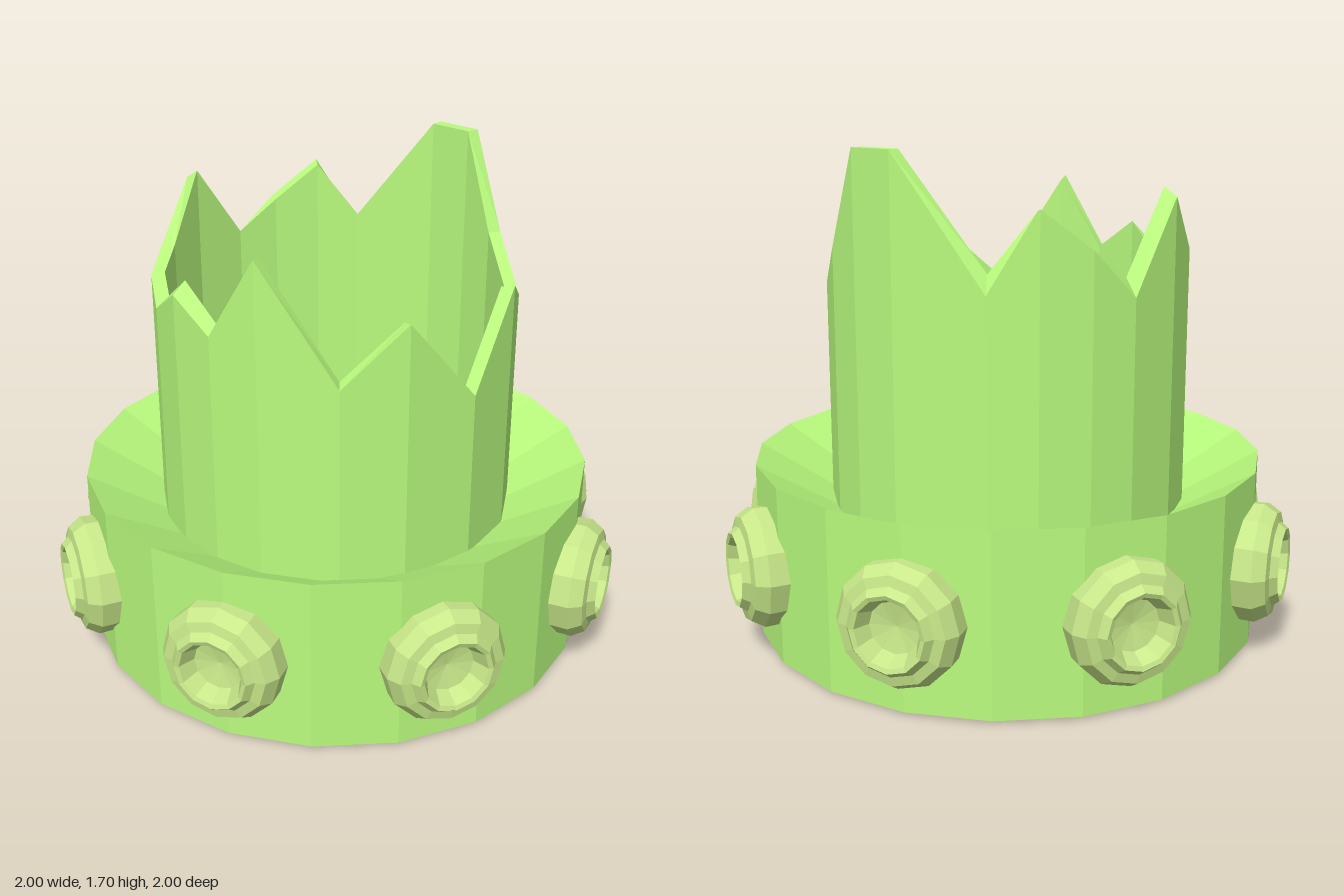
import * as THREE from 'three';

const RAD = Math.PI / 180;
const material = (color) => new THREE.MeshStandardMaterial({ color, flatShading: true });
const green = material(0xbafc7e);
const paleGreen = material(0xc8e88a);
const teal = material(0x88f8d8);

function part(name, geometry, mat) {
  const mesh = new THREE.Mesh(geometry, mat);
  mesh.name = name;
  return mesh;
}

function lathe(points, sides) {
  return new THREE.LatheGeometry(points.map(([r, y]) => new THREE.Vector2(r, y)), sides);
}

// Jagged rim of the tube: [angle from the front towards +x in degrees, outer height, inner height]
const RIM = [
  [0, 1.54, 1.53], [24, 1.14, 1.15], [44, 1.34, 1.33], [68, 1.04, 1.05], [90, 1.34, 1.33],
  [113, 1.22, 1.23], [135, 1.37, 1.37], [150, 1.7, 1.7], [166, 1.7, 1.7], [195, 1.27, 1.33],
  [210, 1.53, 1.52], [226, 1.4, 1.4], [241, 1.24, 1.3], [261, 1.54, 1.57], [279, 1.35, 1.35],
  [296, 1.3, 1.31], [313, 1.25, 1.28], [328, 1.35, 1.39], [344, 1.26, 1.28],
];

// Hollow tube: each rim angle carries a four-point wall section
function brokenTube() {
  const positions = [];
  const index = [];
  for (const [degrees, outer, inner] of RIM) {
    const s = Math.sin(degrees * RAD), c = Math.cos(degrees * RAD);
    const section = [[0.626, 0.36], [0.626, outer], [0.58, inner], [0.58, 0.36]];
    for (const [r, y] of section) positions.push(r * s, y, r * c);
  }
  for (let i = 0; i < RIM.length; i++) {
    const n = (i + 1) % RIM.length;
    for (let j = 0; j < 4; j++) {
      const k = (j + 1) % 4;
      const a = i * 4 + j, b = n * 4 + j, c = n * 4 + k, d = i * 4 + k;
      index.push(a, b, c, a, c, d);
    }
  }
  const geometry = new THREE.BufferGeometry();
  geometry.setAttribute('position', new THREE.Float32BufferAttribute(positions, 3));
  geometry.setIndex(index);
  geometry.computeVertexNormals();
  return geometry;
}

const polar = (r, a) => new THREE.Vector2(r * Math.cos(a), r * Math.sin(a));

// Teardrop slot: wide round end outside, narrow end trailing inwards
function teardrop(angle) {
  const wide = polar(0.475, angle);
  const tip = polar(0.385, angle - 18 * RAD);
  const axis = wide.clone().sub(tip).angle();
  const points = [];
  for (let i = 0; i <= 6; i++) {
    points.push(polar(0.065, axis + (-105 + i * 35) * RAD).add(wide));
  }
  for (let i = 0; i <= 2; i++) {
    points.push(polar(0.022, axis + (105 + i * 75) * RAD).add(tip));
  }
  return new THREE.Path(points);
}

function slottedDisc() {
  const ringPoints = (r, n) => Array.from({ length: n }, (_, i) => polar(r, (i / n) * Math.PI * 2));
  const shape = new THREE.Shape(ringPoints(0.63, 20));
  shape.holes.push(new THREE.Path(ringPoints(0.18, 10)));
  for (let k = 0; k < 12; k++) shape.holes.push(teardrop((90 + k * 30) * RAD));
  const geometry = new THREE.ExtrudeGeometry(shape, { depth: 0.18, bevelEnabled: false });
  geometry.rotateX(-Math.PI / 2);
  geometry.translate(0, 0.22, 0);
  return geometry;
}

export function createModel() {
  const model = new THREE.Group();
  model.name = 'brokenTower';

  // Base collar: upright wall with shallow funnels above and below
  model.add(part('baseCollar', lathe([
    [0.62, 0.36], [0.63, 0.17], [0.89, 0.01], [0.89, 0.62], [0.6, 0.45],
  ], 20), green));

  model.add(part('brokenTube', brokenTube(), green));

  // Slotted disc with a bored hub
  model.add(part('slottedDisc', slottedDisc(), teal));
  model.add(part('hub', lathe([
    [0.12, 0], [0.225, 0], [0.25, 0.04], [0.265, 0.31], [0.25, 0.58], [0.225, 0.62],
    [0.12, 0.62], [0.12, 0],
  ], 10), teal));

  // Eight rounded studs with sunken sockets
  const studGeometry = lathe([
    [0.2, 0.8], [0.205, 0.925], [0.178, 0.968], [0.145, 0.975], [0.125, 1],
    [0.11, 0.995], [0.085, 0.94], [0, 0.925],
  ], 12);
  studGeometry.rotateX(Math.PI / 2);
  for (let i = 0; i < 8; i++) {
    const stud = part('stud', studGeometry, paleGreen);
    stud.position.y = 0.31;
    stud.rotation.y = (i * Math.PI) / 4;
    model.add(stud);
  }
  return model;
}
